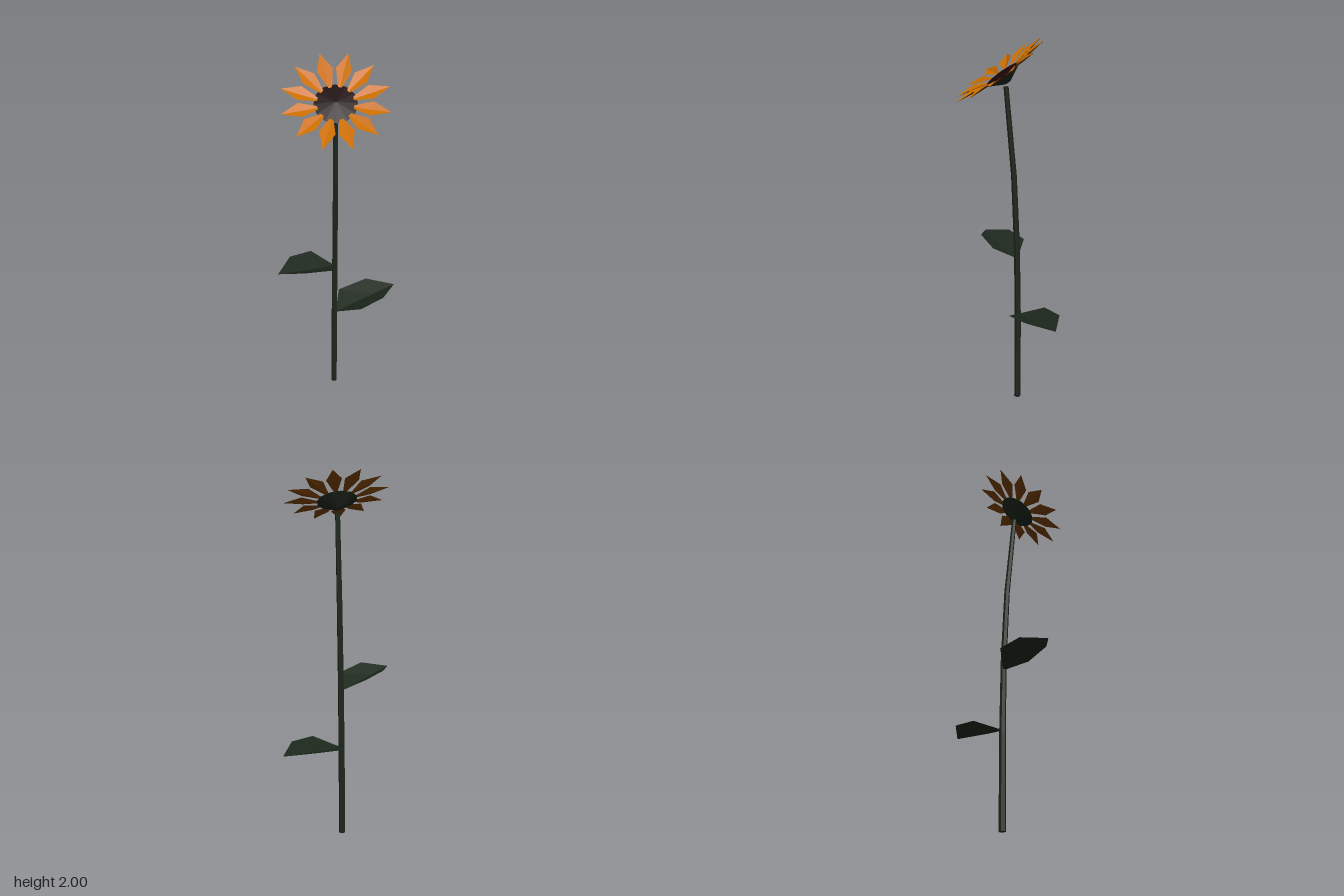
import * as THREE from 'three';

const material = (name, color, side = THREE.FrontSide) => {
  const m = new THREE.MeshStandardMaterial({ color, side, flatShading: true });
  m.name = name;
  return m;
};

// A folded blade: left edge, midrib and right edge, each with the same number of points.
function bladeGeometry(left, rib, right) {
  const pos = [];
  const tri = (a, b, c) => pos.push(...a, ...b, ...c);
  for (let i = 0; i < rib.length - 1; i++) {
    for (const [p, q] of [[left, rib], [rib, right]]) {
      tri(p[i], q[i], q[i + 1]);
      tri(p[i], q[i + 1], p[i + 1]);
    }
  }
  const g = new THREE.BufferGeometry();
  g.setAttribute('position', new THREE.Float32BufferAttribute(pos, 3));
  g.computeVertexNormals();
  return g;
}

// Tapered six-sided stem swept up through [x, y, z, radius] rings.
function stemGeometry(rings, sides = 6) {
  const g = new THREE.CylinderGeometry(1, 1, 1, sides, rings.length - 1);
  const p = g.attributes.position;
  for (let i = 0; i < p.count; i++) {
    const k = Math.round((p.getY(i) + 0.5) * (rings.length - 1));
    const [x, y, z, r] = rings[k];
    p.setXYZ(i, x + p.getX(i) * r, y, z + p.getZ(i) * r);
  }
  g.computeVertexNormals();
  return g;
}

export function createModel() {
  const model = new THREE.Group();
  model.name = 'flower';

  const stemGreen = material('stem green', 0x1d271c);
  const leafGreen = material('leaf green', 0x1d281d, THREE.DoubleSide);
  const petalOrange = material('petal orange', 0xcb6e00);
  const petalBrown = material('petal back brown', 0x743e00);
  const seedBrown = material('seed brown', 0x1b0506);

  const add = (parent, name, geometry, mat) => {
    const mesh = new THREE.Mesh(geometry, mat);
    mesh.name = name;
    parent.add(mesh);
    return mesh;
  };

  // Stem, leaning forward near the top
  add(model, 'stem', stemGeometry([
    [-0.031, 0, -0.053, 0.018],
    [-0.027, 0.5, -0.053, 0.017],
    [-0.023, 0.9, -0.047, 0.016],
    [-0.02, 1.3, -0.03, 0.015],
    [-0.019, 1.767, 0.011, 0.013],
  ]), stemGreen);

  // Two leaves of one shape, on opposite sides of the stem
  const base = [0, 0, 0], tip = [0.345, 0.053, -0.172];
  const leaf = bladeGeometry(
    [base, [0.025, 0.046, -0.147], [0.185, 0.071, -0.21], tip],
    [base, [0.1, 0.014, -0.055], [0.22, 0.032, -0.113], tip],
    [base, [0.14, 0.055, 0.055], [0.27, 0.069, -0.025], tip],
  );
  add(model, 'lowerLeaf', leaf, leafGreen).position.set(-0.02, 0.515, -0.05);
  const upper = add(model, 'upperLeaf', leaf, leafGreen);
  upper.position.set(-0.028, 0.838, -0.05);
  upper.rotation.y = Math.PI + 0.03;
  upper.scale.set(0.88, 1.2, 0.88);

  // Flower head, tilted to the front
  const head = new THREE.Group();
  head.name = 'flowerHead';
  head.position.set(-0.02, 1.829, 0.029);
  head.rotation.x = THREE.MathUtils.degToRad(34.6);
  model.add(head);

  // Seed disc with a low dome
  const disc = new THREE.ConeGeometry(0.106, 0.018, 12, 1, true);
  add(head, 'seedDisc', disc, seedBrown).position.y = 0.008;

  // Green cup under the disc
  const cup = new THREE.CylinderGeometry(0.104, 0.02, 0.046, 12);
  add(head, 'cup', cup, stemGreen).position.y = -0.025;

  // Ring of twelve folded petals, orange in front and brown behind
  const end = [0.269, 0.03, 0];
  const edge = (s) => [[0.09, 0.005, s * 0.01], [0.175, 0.027, s * 0.039], end];
  const rib = [[0.088, 0.002, 0], [0.175, 0.014, 0], end];
  const front = bladeGeometry(edge(-1), rib, edge(1));
  const back = bladeGeometry(edge(1), rib, edge(-1)).translate(0, -0.002, 0);
  for (let i = 0; i < 12; i++) {
    const petal = new THREE.Group();
    petal.name = 'petal';
    petal.rotation.y = (i + 0.5) * Math.PI / 6;
    add(petal, 'petalFront', front, petalOrange);
    add(petal, 'petalBack', back, petalBrown);
    head.add(petal);
  }

  return model;
}
